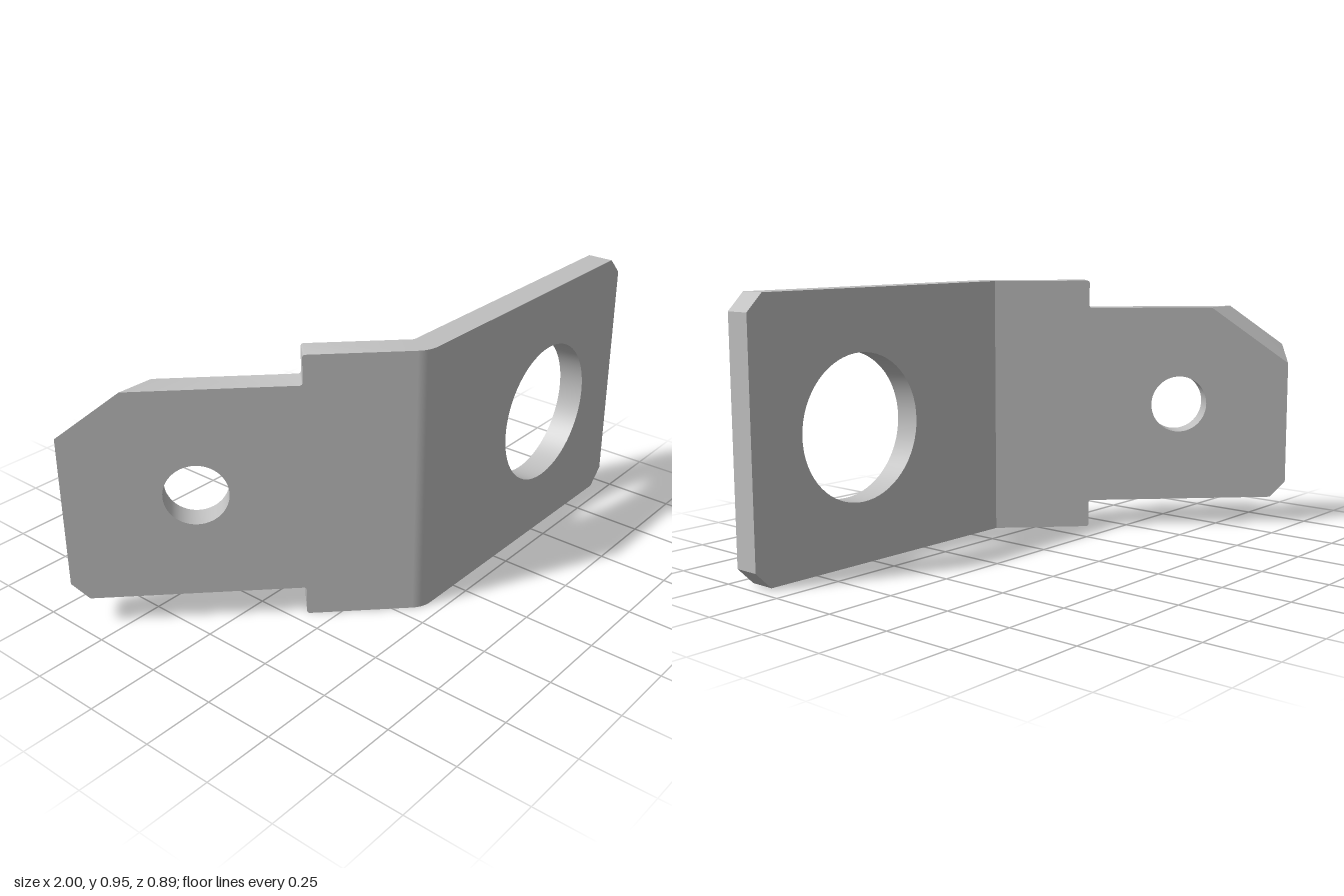
import * as THREE from 'three';
import { toCreasedNormals } from 'three/addons/utils/BufferGeometryUtils.js';

const T = 0.094;            // sheet thickness
const H = 0.948;            // full height
const BEND = { x: -0.135, z: 0.353 }; // inner bend line
const LOW = 0.103, HIGH = 0.845;      // edges of the narrow tab
const TIP = 1.131, STEP = 0.358;      // tab length and shoulder position

function makeShape(points, hx, hy, r) {
  const shape = new THREE.Shape(points.map(([x, y]) => new THREE.Vector2(x, y)));
  shape.holes.push(new THREE.Path().absarc(hx, hy, r, 0, Math.PI * 2, true));
  return shape;
}

function extrude(shape) {
  return new THREE.ExtrudeGeometry(shape, { depth: T, bevelEnabled: false, curveSegments: 32 });
}

export function createModel() {
  const group = new THREE.Group();
  const steel = new THREE.MeshStandardMaterial({ color: 0xbfbfbf });
  steel.name = 'plain steel';

  const add = (name, geometry) => {
    const mesh = new THREE.Mesh(geometry, steel);
    mesh.name = name;
    mesh.position.set(BEND.x, 0, BEND.z);
    group.add(mesh);
    return mesh;
  };

  // Wide plate with a large hole and two clipped corners
  const end = 1 - BEND.x, c = 0.06;
  const plate = makeShape(
    [[0, 0], [end - c, 0], [end, c], [end, H - c], [end - c, H], [0, H]],
    0.54 - BEND.x, H / 2, 0.257);
  add('widePlate', toCreasedNormals(extrude(plate), 0.5));

  // Rounded outside of the bend
  const bend = add('bend', new THREE.CylinderGeometry(T, T, H, 12, 1, false, -Math.PI / 4, Math.PI / 4));
  bend.position.y = H / 2;

  // Angled tab, running towards -x before it is turned; small rounds at the shoulders
  const s = 0.008, k = s * 0.3;
  const chamferStart = 0.827, chamferEnd = 0.628;
  const tab = makeShape([
    [0, H], [-STEP + s, H], [-STEP + k, H - k], [-STEP, H - s],
    [-STEP, HIGH + s], [-STEP - k, HIGH + k], [-STEP - s, HIGH],
    [-chamferStart, HIGH], [-TIP, chamferEnd],
    [-TIP, 0.163], [-1.073, LOW],
    [-STEP - s, LOW], [-STEP - k, LOW - k], [-STEP, LOW - s],
    [-STEP, s], [-STEP + k, k], [-STEP + s, 0], [0, 0],
  ], -0.706, H / 2, 0.107);
  const tabGeometry = extrude(tab);

  // Skew the large chamfer so its cut runs parallel to x
  const p = tabGeometry.attributes.position;
  const near = (a, b) => Math.abs(a - b) < 1e-4;
  for (let i = 0; i < p.count; i++) {
    if (p.getZ(i) < T / 2) continue;
    if (near(p.getX(i), -chamferStart) && near(p.getY(i), HIGH)) p.setX(i, -chamferStart - T);
    if (near(p.getX(i), -TIP) && near(p.getY(i), chamferEnd)) p.setY(i, chamferEnd + T * Math.SQRT1_2);
  }
  add('angledTab', toCreasedNormals(tabGeometry, 0.5)).rotation.y = -Math.PI / 4;

  return group;
}
